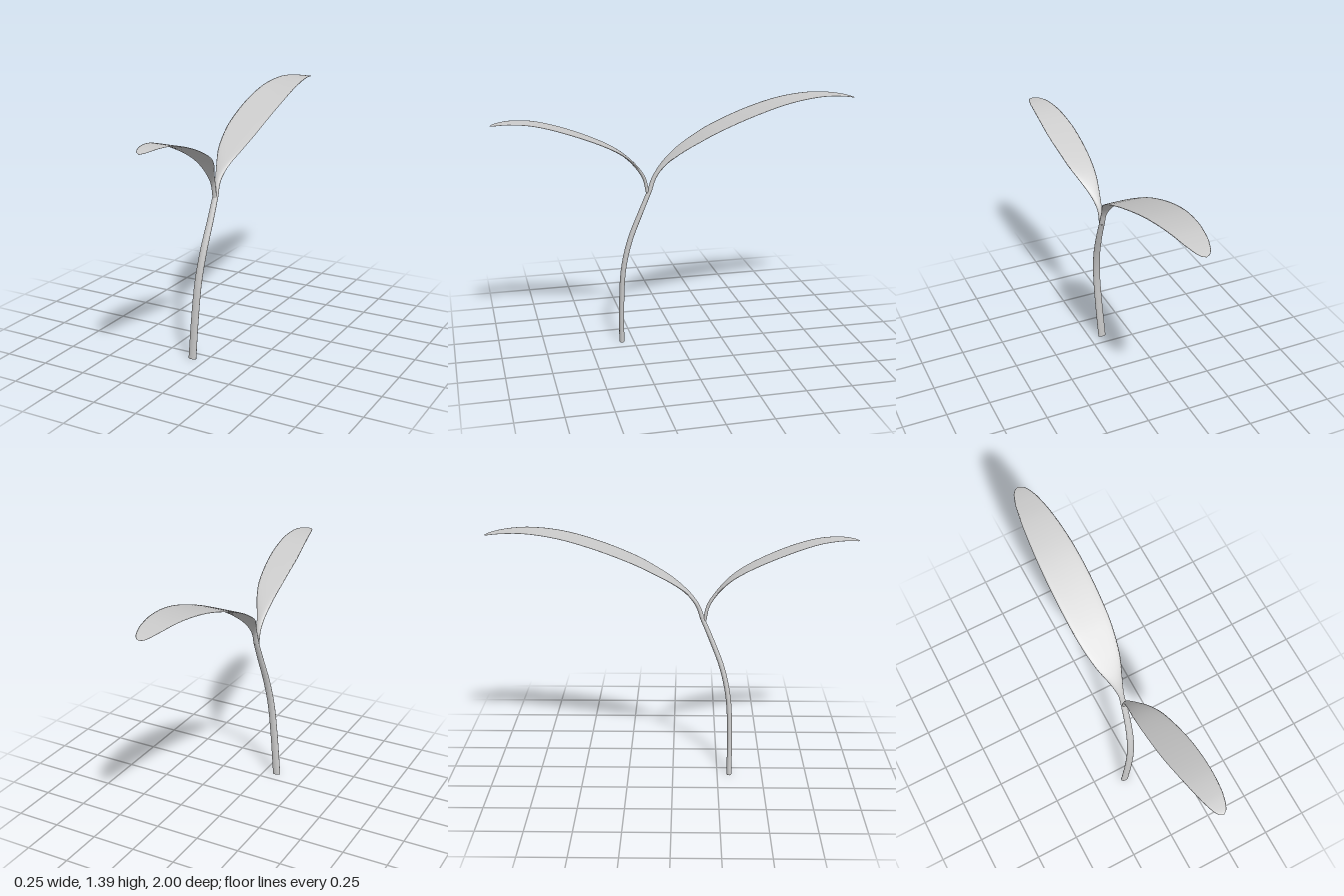
import * as THREE from 'three';

const material = new THREE.MeshStandardMaterial({ color: 0xcccccc, side: THREE.DoubleSide });

// Sweeps an oval section along rows of [x, y, z, halfWidth, halfThickness].
// The width lies along x; cup bends the section's edges along its normal.
function sweep(name, rows, steps, cup = 0, sides = 16) {
  const path = new THREE.CatmullRomCurve3(rows.map(r => new THREE.Vector3(r[0], r[1], r[2])));
  const size = new THREE.CatmullRomCurve3(rows.map((r, i) => new THREE.Vector3(r[3], r[4], i * 0.1)));
  const positions = [], index = [];
  for (let i = 0; i <= steps; i++) {
    const t = i / steps;
    const centre = path.getPoint(t), half = size.getPoint(t), tangent = path.getTangent(t);
    const across = new THREE.Vector3(1, 0, 0).addScaledVector(tangent, -tangent.x).normalize();
    const normal = new THREE.Vector3().crossVectors(tangent, across);
    for (let j = 0; j < sides; j++) {
      const a = (j / sides) * Math.PI * 2, c = Math.cos(a);
      const p = centre.clone()
        .addScaledVector(across, c * half.x)
        .addScaledVector(normal, Math.sin(a) * half.y + cup * half.x * c * c);
      positions.push(p.x, p.y, p.z);
      if (i < steps) {
        const k = i * sides + j, n = i * sides + (j + 1) % sides;
        index.push(k, n, k + sides, n, n + sides, k + sides);
      }
    }
  }
  const geometry = new THREE.BufferGeometry();
  geometry.setAttribute('position', new THREE.Float32BufferAttribute(positions, 3));
  geometry.setIndex(index);
  geometry.computeVertexNormals();
  const mesh = new THREE.Mesh(geometry, material);
  mesh.name = name;
  return mesh;
}

export function createModel() {
  const sprout = new THREE.Group();
  sprout.name = 'sprout';

  // Curved stem
  sprout.add(sweep('stem', [
    [-0.078, 0, 0.317, 0.023, 0.014],
    [-0.058, 0.25, 0.317, 0.022, 0.014],
    [-0.042, 0.45, 0.306, 0.021, 0.014],
    [-0.028, 0.62, 0.27, 0.02, 0.014],
    [-0.018, 0.78, 0.21, 0.018, 0.013],
    [-0.015, 0.9, 0.16, 0.016, 0.012],
  ], 30));

  // Flat cut at the foot of the stem
  const foot = new THREE.Mesh(new THREE.CircleGeometry(1, 16), material);
  foot.name = 'stemFoot';
  foot.rotation.x = Math.PI / 2;
  foot.scale.set(0.023, 0.014, 1);
  foot.position.set(-0.078, 0, 0.317);
  sprout.add(foot);

  // Large leaf continuing the stem backwards
  sprout.add(sweep('backLeaf', [
    [-0.015, 0.9, 0.16, 0.016, 0.012],
    [-0.016, 0.97, 0.135, 0.017, 0.011],
    [-0.017, 1.04, 0.085, 0.036, 0.009],
    [-0.018, 1.11, 0, 0.07, 0.006],
    [-0.018, 1.17, -0.1, 0.092, 0.005],
    [-0.018, 1.222, -0.2, 0.104, 0.005],
    [-0.018, 1.302, -0.4, 0.11, 0.004],
    [-0.018, 1.36, -0.6, 0.103, 0.003],
    [-0.018, 1.383, -0.78, 0.084, 0.003],
    [-0.018, 1.378, -0.9, 0.062, 0.002],
    [-0.018, 1.368, -0.965, 0.04, 0.002],
    [-0.018, 1.362, -0.99, 0.022, 0.002],
    [-0.018, 1.36, -1.0, 0.002, 0.001],
  ], 60, -0.03));

  // Smaller leaf branching forwards
  sprout.add(sweep('frontLeaf', [
    [-0.015, 0.89, 0.172, 0.012, 0.009],
    [-0.014, 0.97, 0.19, 0.014, 0.009],
    [-0.008, 1.04, 0.235, 0.028, 0.008],
    [0.004, 1.11, 0.305, 0.052, 0.006],
    [0.018, 1.17, 0.4, 0.072, 0.005],
    [0.036, 1.257, 0.6, 0.084, 0.004],
    [0.05, 1.312, 0.78, 0.073, 0.003],
    [0.058, 1.325, 0.9, 0.055, 0.002],
    [0.061, 1.322, 0.96, 0.037, 0.002],
    [0.062, 1.318, 0.988, 0.021, 0.002],
    [0.062, 1.315, 1.0, 0.002, 0.001],
  ], 50, 0.03));

  return sprout;
}
